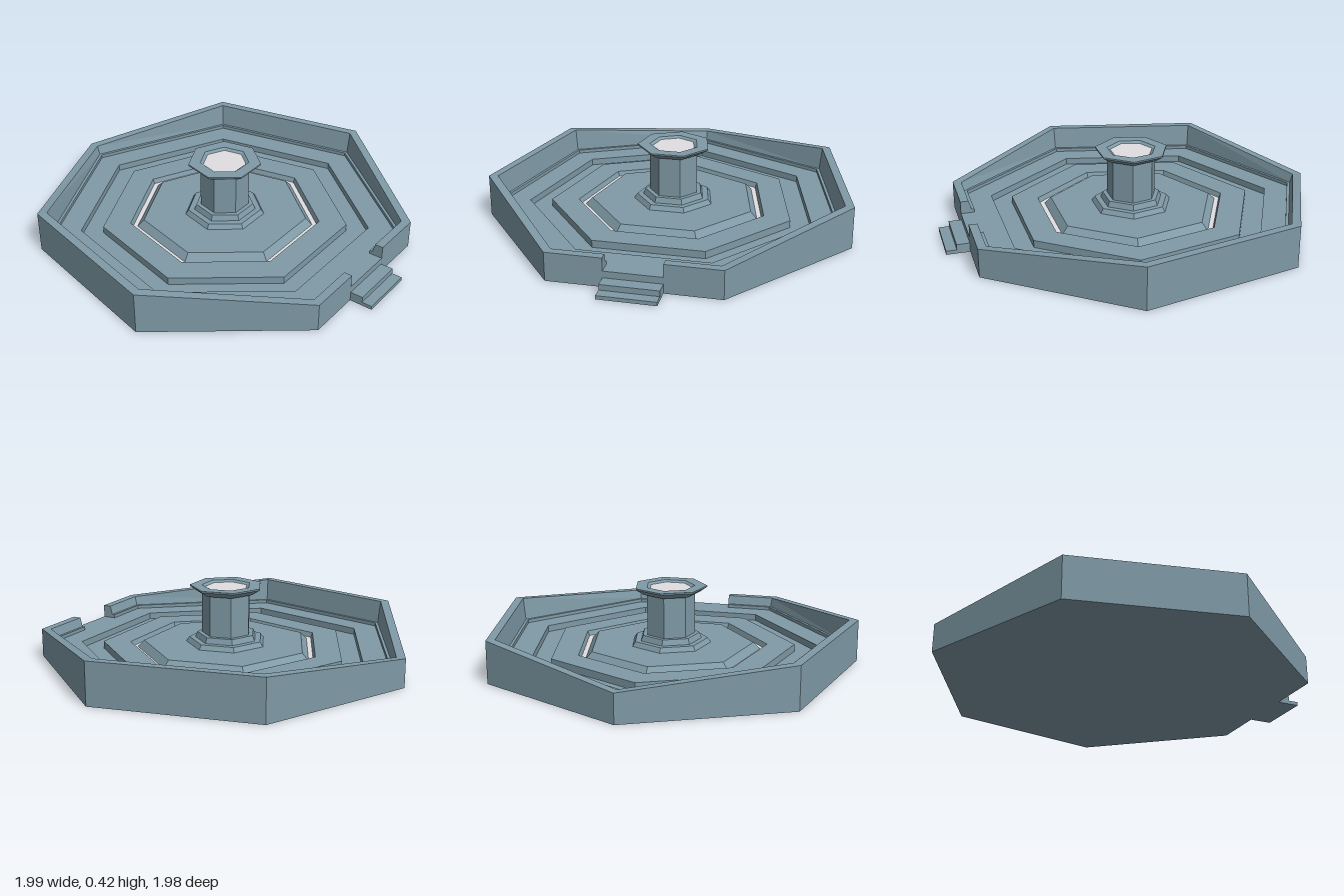
import * as THREE from 'three';

const SIDES = 7;
const STEP = (Math.PI * 2) / SIDES;
const START = -0.094; // angle of the first corner, from +x towards +z
const COS = Math.cos(STEP / 2), TAN = Math.tan(STEP / 2);
const OUTER = 1.022 * COS; // distance from centre to the outer wall faces
const GAP = 0.15; // half width of the entrance
const RIM = [0.155, 0.155, 0.23, 0.23, 0.155, 0.23, 0.23]; // wall height at each corner

const stone = new THREE.MeshStandardMaterial({ color: 0x7f9aa6, flatShading: true });
const pale = new THREE.MeshStandardMaterial({ color: 0xe2dee2, flatShading: true });

function add(parent, name, geometry, material = stone) {
  const mesh = new THREE.Mesh(geometry, material);
  mesh.name = name;
  parent.add(mesh);
  return mesh;
}

// Seven-sided turned shape from [radius, height] pairs, bottom to top
function turned(profile) {
  const points = profile.map(([r, y]) => new THREE.Vector2(r, y));
  return new THREE.LatheGeometry(points, SIDES, Math.PI / 2 - START - Math.PI * 2, Math.PI * 2);
}

// Wall cross-section as [distance, height], with a small ledge on the inside
function wallSection(h) {
  return [[OUTER, 0], [OUTER, h], [0.972 * COS, h], [0.957 * COS, 0.105], [0.94 * COS, 0.105], [0.94 * COS, 0]];
}

// One straight wall piece; null for an end means a mitred corner
function wallPiece(side, h0, h1, t0 = null, t1 = null) {
  const a = START + (side + 0.5) * STEP;
  const place = (h, t, sign) => wallSection(h).map(([d, y]) => {
    const s = t === null ? sign * d * TAN : t;
    return [d * Math.cos(a) - s * Math.sin(a), y, d * Math.sin(a) + s * Math.cos(a)];
  });
  const A = place(h0, t0, -1), B = place(h1, t1, 1), n = A.length, out = [];
  for (let j = 0; j < n; j++) {
    const k = (j + 1) % n;
    out.push(A[j], A[k], B[k], A[j], B[k], B[j]);
  }
  for (let j = 1; j < n - 1; j++) out.push(B[0], B[j], B[j + 1], A[0], A[j + 1], A[j]);
  const g = new THREE.BufferGeometry();
  g.setAttribute('position', new THREE.Float32BufferAttribute(out.flat(), 3));
  g.computeVertexNormals();
  return g;
}

export function createModel() {
  const model = new THREE.Group();
  model.name = 'sevenSidedArena';
  const body = new THREE.Group();
  body.name = 'arena';
  body.position.set(-0.037, 0, -0.023);
  model.add(body);

  // Floor: walkway, trench, platform, light groove, raised centre
  add(body, 'floor', turned([
    [0, 0], [0.945, 0], [0.945, 0.086], [0.8, 0.086], [0.8, 0.05], [0.68, 0.05], [0.68, 0.09],
    [0.53, 0.09], [0.518, 0.062], [0.492, 0.062], [0.455, 0.1], [0, 0.1],
  ]));
  add(body, 'lightStrip', turned([[0.519, 0.064], [0.492, 0.064]]), pale);

  // Perimeter wall, split at the entrance side
  const wall = new THREE.Group();
  wall.name = 'wall';
  body.add(wall);
  add(wall, 'entranceWallRight', wallPiece(0, RIM[0], RIM[0], null, -GAP));
  add(wall, 'entranceWallLeft', wallPiece(0, RIM[1], RIM[1], GAP, null));
  for (let i = 1; i < SIDES; i++) {
    add(wall, 'wallSide' + i, wallPiece(i, RIM[i], RIM[(i + 1) % SIDES]));
  }

  // Entrance sill and two steps, each [far end, top height]
  const entrance = new THREE.Group();
  entrance.name = 'entranceSteps';
  entrance.rotation.y = -(START + STEP / 2);
  body.add(entrance);
  let near = 0.94 * COS;
  [[OUTER, 0.086], [0.99, 0.05], [1.046, 0.02]].forEach(([far, top], i) => {
    const step = add(entrance, i ? 'step' + i : 'sill', new THREE.BoxGeometry(far - near, top, GAP * 2));
    step.position.set((near + far) / 2, top / 2, 0);
    near = far;
  });

  // Central pedestal: stepped base, shaft and flared cap with a recessed top
  const pedestal = new THREE.Group();
  pedestal.name = 'pedestal';
  body.add(pedestal);
  add(pedestal, 'base', turned([[0.222, 0.1], [0.205, 0.125], [0.172, 0.125], [0.16, 0.155], [0.12, 0.155]]));
  add(pedestal, 'shaft', turned([[0.135, 0.15], [0.135, 0.385]]));
  add(pedestal, 'cap', turned([
    [0.13, 0.38], [0.155, 0.38], [0.2, 0.41], [0.2, 0.418], [0.135, 0.418], [0.116, 0.406], [0.1, 0.406],
  ]));
  add(pedestal, 'lightPanel', turned([[0.117, 0.408], [0, 0.408]]), pale);

  return model;
}
